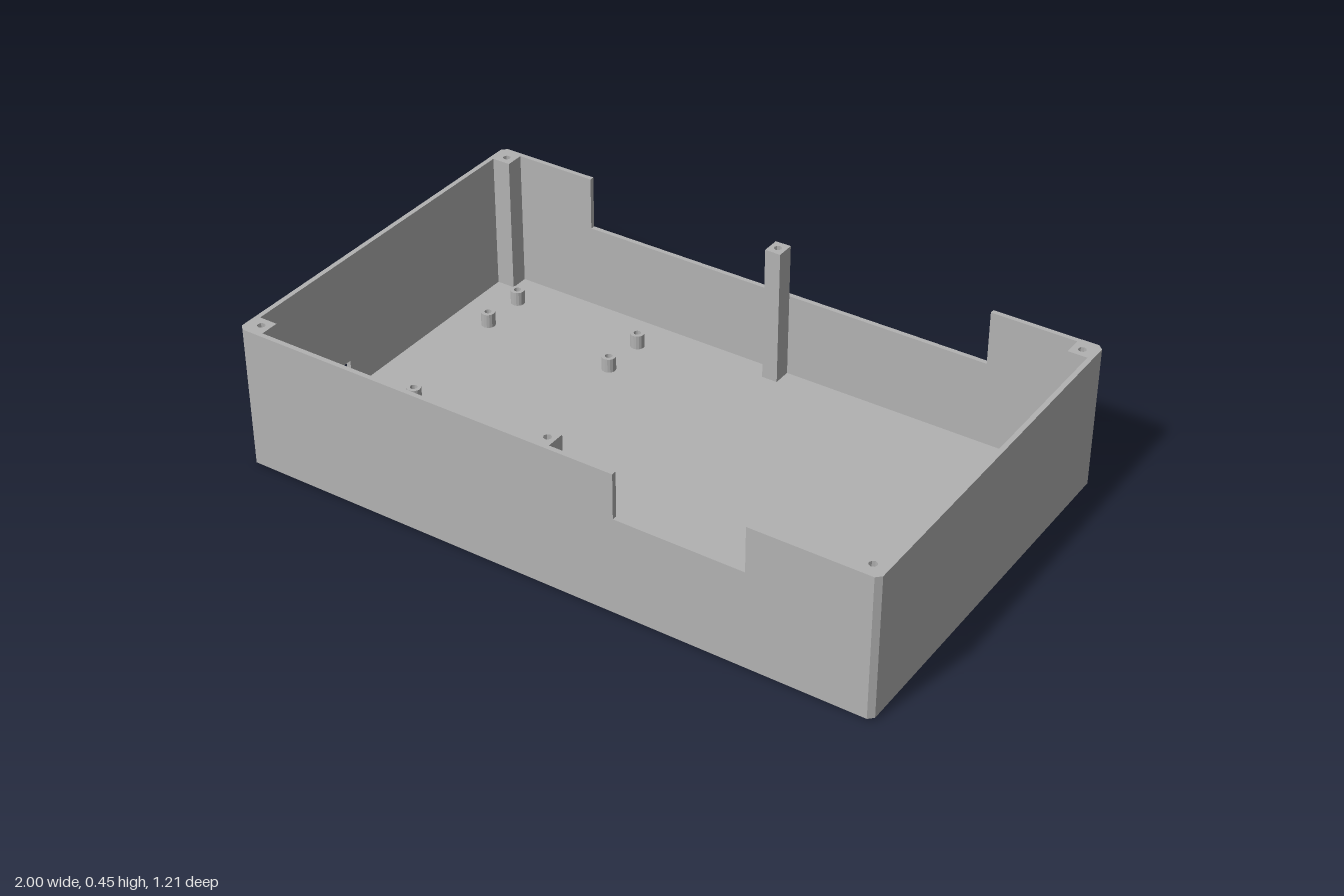
import * as THREE from 'three';

const HX = 1, HZ = 0.605, T = 0.015, H = 0.45;   // half sizes, wall thickness, height
const EDGE = 0.008, FLOOR = 0.017;               // bottom bevel, floor top
const IX = HX - T, IZ = HZ - T;                  // inner half sizes

const polygon = (points) => new THREE.Shape(points.map(([x, y]) => new THREE.Vector2(x, y)));
const rect = (x0, y0, x1, y1) => polygon([[x0, y0], [x1, y0], [x1, y1], [x0, y1]]);
const extrude = (shape, depth, curveSegments = 6) =>
  new THREE.ExtrudeGeometry(shape, { depth, bevelEnabled: false, curveSegments });
// Extrudes an outline in the ground plane (shape y is -z) upwards from y0 to y1
const upright = (shape, y0, y1, segments) =>
  extrude(shape, y1 - y0, segments).rotateX(-Math.PI / 2).translate(0, y0, 0);

export function createModel() {
  const group = new THREE.Group();
  const grey = new THREE.MeshStandardMaterial({ color: 0xb2b2b2 });
  grey.name = 'grey plastic';
  const add = (name, geometry, x = 0, y = 0, z = 0) => {
    const mesh = new THREE.Mesh(geometry, grey);
    mesh.name = name;
    mesh.position.set(x, y, z);
    group.add(mesh);
  };

  // Base plate with cut corners, drawn in at the bottom for the bevelled edge
  const base = upright(polygon([
    [-IX, -HZ], [IX, -HZ], [HX, -IZ], [HX, IZ], [IX, HZ], [-IX, HZ], [-HX, IZ], [-HX, -IZ],
  ]), 0, EDGE);
  const p = base.attributes.position;
  for (let i = 0; i < p.count; i++) {
    if (p.getY(i) < EDGE / 2) {
      p.setX(i, p.getX(i) * (1 - EDGE / HX));
      p.setZ(i, p.getZ(i) * (1 - EDGE / HZ));
    }
  }
  base.computeVertexNormals();
  add('basePlate', base);
  add('floor', upright(rect(-IX, -IZ, IX, IZ), EDGE, FLOOR));

  // Long walls, each with a notch in its top edge
  const notched = (x0, x1, y) => extrude(polygon([
    [-IX, EDGE], [IX, EDGE], [IX, H], [x1, H], [x1, y], [x0, y], [x0, H], [-IX, H],
  ]), T);
  add('frontWall', notched(0.23, 0.625, 0.31), 0, 0, IZ);
  add('backWall', notched(-0.67, 0.665, 0.282), 0, 0, -HZ);

  // Short walls, one with a cable opening
  const side = (opening) => {
    const shape = rect(-IZ, EDGE, IZ, H);
    if (opening) shape.holes.push(opening);
    return extrude(shape, T).rotateY(Math.PI / 2);
  };
  add('leftWall', side(), IX);
  add('rightWall', side(rect(-0.3, 0.028, -0.18, 0.115)), -HX);

  // Chamfered outer corners and screw posts
  const post = (w, d) => {
    const shape = rect(-w / 2, -d / 2, w / 2, d / 2);
    shape.holes.push(new THREE.Path().absarc(0, 0, 0.012, 0, Math.PI * 2, true));
    return upright(shape, FLOOR, H, 4);
  };
  for (const sz of [-1, 1]) {
    for (const sx of [-1, 1]) {
      add('cornerEdge', upright(polygon([
        [sx * IX, sz * IZ], [sx * HX, sz * IZ], [sx * IX, sz * HZ],
      ]), EDGE, H));
      add('cornerPost', post(0.058, 0.058), sx * (IX - 0.029), 0, sz * (IZ - 0.029));
    }
    add('middlePost', post(0.05, 0.058), 0, 0, sz * (IZ - 0.029));
  }

  // Hollow standoffs on the floor
  const ring = new THREE.Shape().absarc(0, 0, 0.022, 0, Math.PI * 2, false);
  ring.holes.push(new THREE.Path().absarc(0, 0, 0.011, 0, Math.PI * 2, true));
  const standoff = upright(ring, FLOOR, FLOOR + 0.045, 8);
  for (const [x, z] of [
    [-0.865, -0.47], [-0.424, -0.47], [-0.865, -0.32], [-0.424, -0.32],
    [-0.8, 0.125], [-0.81, 0.505], [-0.4, 0.248], [-0.4, 0.465],
  ]) add('standoff', standoff, x, 0, z);

  return group;
}
